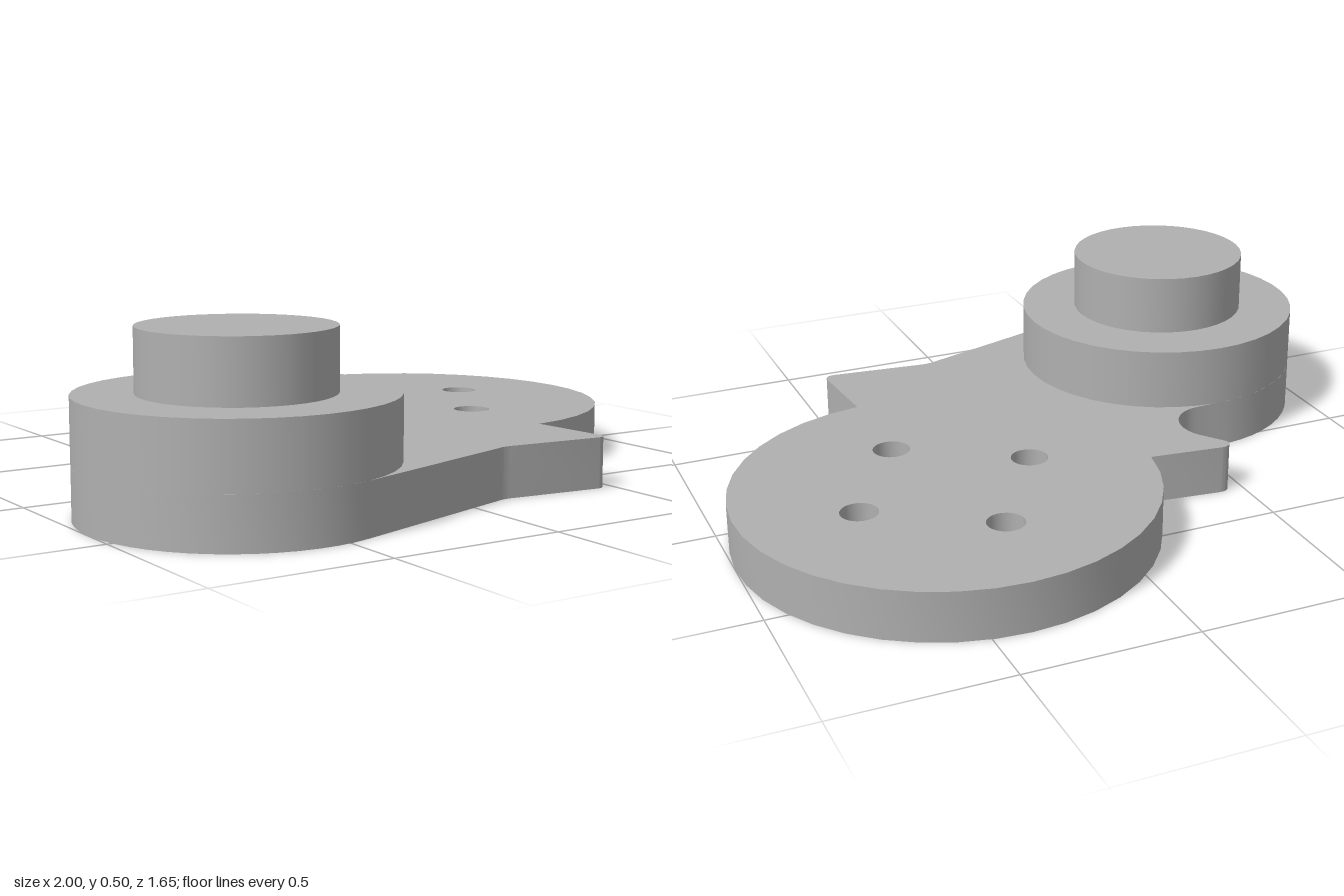
import * as THREE from 'three';
import { toCreasedNormals } from 'three/addons/utils/BufferGeometryUtils.js';

const PLATE = 0.145, HUB_TOP = 0.325, PIN_TOP = 0.5;
const HUB = { x: -0.57, z: 0.393, r: 0.43 };
const DISC = { x: 0.395, z: -0.225, r: 0.605 };

export function createModel() {
  const model = new THREE.Group();
  model.name = 'leverBracket';
  const grey = new THREE.MeshStandardMaterial({ color: 0xb0b0b0 });
  grey.name = 'grey';

  // Plate outline, drawn in x and -z
  const s = new THREE.Shape();
  s.absarc(HUB.x, -HUB.z, HUB.r, 1.52, Math.PI * 2 - 1.25, false);
  s.lineTo(0.11, -0.624);
  s.quadraticCurveTo(0.13, -0.615, 0.16, -0.617);
  // Front tab with a rounded tip
  s.lineTo(0.445, -0.647);
  s.quadraticCurveTo(0.477, -0.647, 0.475, -0.615);
  s.lineTo(0.455, -0.377);
  // Large disc
  s.absarc(DISC.x, -DISC.z, DISC.r, Math.atan2(-0.602, 0.06), Math.atan2(0.075, -0.6), false);
  // Back tab and concave notch running into the hub
  s.lineTo(-0.425, 0.325);
  s.bezierCurveTo(-0.46, 0.325, -0.465, 0.298, -0.448, 0.28);
  s.lineTo(-0.405, 0.222);
  s.bezierCurveTo(-0.355, 0.145, -0.405, 0.045, -0.49, 0.04);

  // Four bolt holes
  for (const [x, z] of [[0.33, -0.505], [0.67, -0.293], [0.115, -0.162], [0.46, 0.048]]) {
    const hole = new THREE.Path();
    hole.absarc(x, -z, 0.054, 0, Math.PI * 2, true);
    s.holes.push(hole);
  }
  const plateGeo = new THREE.ExtrudeGeometry(s, { depth: PLATE, bevelEnabled: false, curveSegments: 14 });
  plateGeo.rotateX(-Math.PI / 2);
  const plate = new THREE.Mesh(toCreasedNormals(plateGeo, 0.6), grey);
  plate.name = 'plate';
  model.add(plate);

  // Raised hub and pin
  const addCylinder = (name, r, y0, y1) => {
    const mesh = new THREE.Mesh(new THREE.CylinderGeometry(r, r, y1 - y0, 40), grey);
    mesh.position.set(HUB.x, (y0 + y1) / 2, HUB.z);
    mesh.name = name;
    model.add(mesh);
  };
  addCylinder('hub', HUB.r, PLATE, HUB_TOP);
  addCylinder('pin', 0.265, HUB_TOP, PIN_TOP);

  return model;
}
